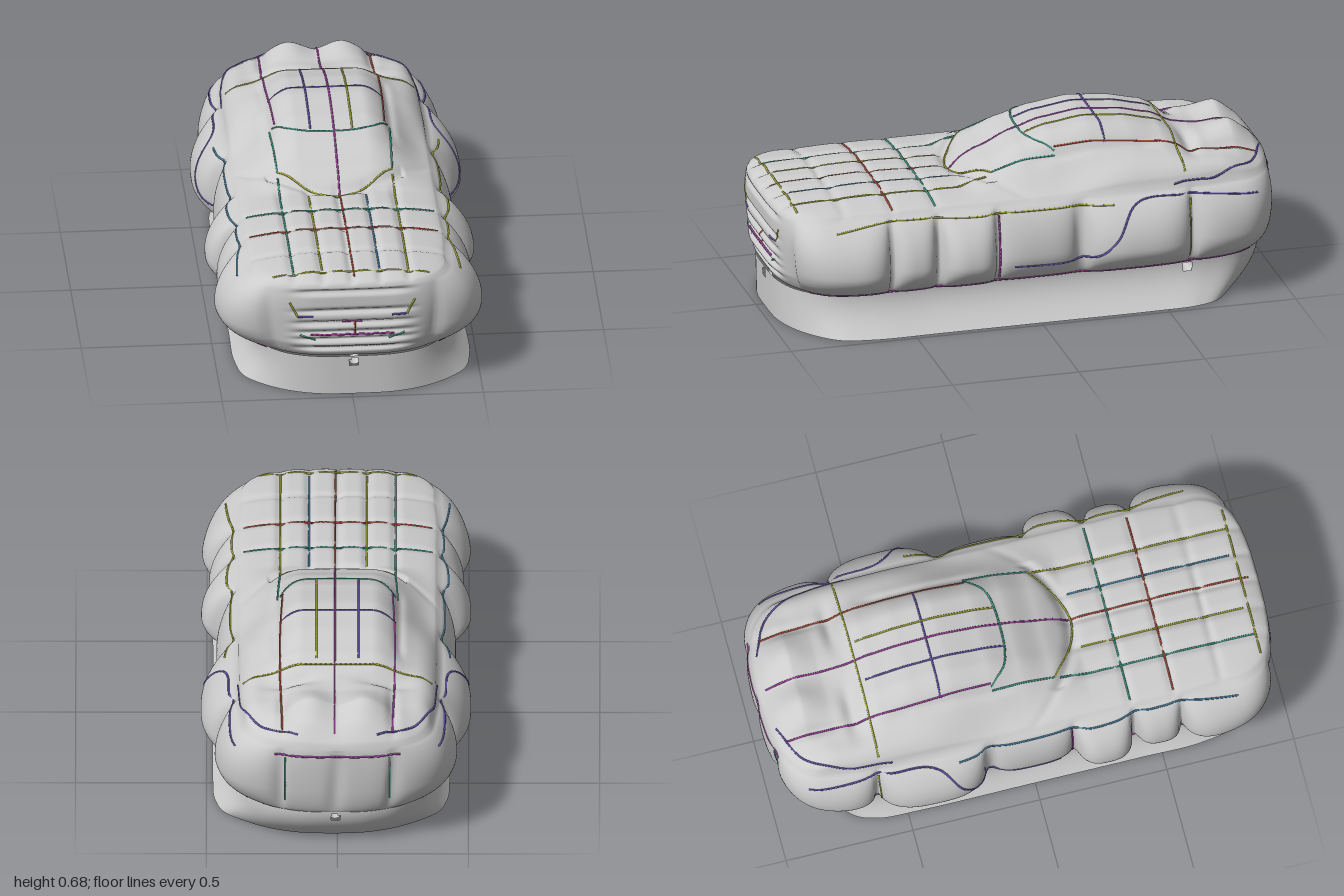
import * as THREE from 'three';

const N = 420;
const clamp = THREE.MathUtils.clamp;
const smooth = (x, a, b) => THREE.MathUtils.smoothstep(x, a, b);
const bell = (d, w) => Math.exp(-(d / w) * (d / w));
const grey = () => new THREE.MeshStandardMaterial({ color: 0xcccccc, side: THREE.DoubleSide });

// interpolate a list of [key, value] pairs with rising keys
function table(list, k) {
  if (k <= list[0][0]) return list[0][1];
  for (let i = 1; i < list.length; i++) {
    const [a, va] = list[i - 1], [b, vb] = list[i];
    if (k <= b) return va + (vb - va) * smooth(k, a, b) * 0.4 + (vb - va) * 0.6 * (k - a) / (b - a);
  }
  return list[list.length - 1][1];
}

// plan outline at the waist, evenly spaced, running front -> +x -> back -> -x
const half = [[0, 0.955], [0.16, 0.945], [0.27, 0.9], [0.35, 0.81], [0.383, 0.66], [0.385, 0.4], [0.385, 0], [0.385, -0.45],
  [0.375, -0.68], [0.335, -0.82], [0.25, -0.905], [0.14, -0.945], [0, -0.955]];
const loop = [...half, ...half.slice(1, -1).reverse().map(([x, z]) => [-x, z])];
const outline = new THREE.CatmullRomCurve3(loop.map(([x, z]) => new THREE.Vector3(x, 0, z)), true, 'centripetal')
  .getSpacedPoints(N).slice(0, N);
const normals = outline.map((p, i) => {
  const t = outline[(i + 1) % N].clone().sub(outline[(i + N - 1) % N]).normalize();
  return new THREE.Vector3(-t.z, 0, t.x);
});

// inflated side panels: rear z, front z, swell
const panels = [[0.585, 0.89, 0.105], [0.405, 0.575, 0.07], [0.165, 0.385, 0.1], [-0.15, 0.15, 0.042],
  [-0.605, -0.19, 0.1], [-0.92, -0.62, 0.065]];
const grille = [0.2, 0.24, 0.27, 0.31, 0.36, 0.44];

// point on the side wall: outline index, t from waist (0) to shoulder (1)
function sidePoint(i, t) {
  const p = outline[i], n = normals[i], y = 0.16 + 0.3 * t;
  const v = t < 0.37 ? 1 - t / 0.37 : (t - 0.37) / 0.63;
  const rise = Math.pow(1 - v * v, 0.72);
  let swell = 0.03;
  for (const [a, b, h] of panels) {
    const u = Math.abs((2 * p.z - a - b) / (b - a));
    if (u < 1) swell += h * Math.pow(1 - u * u * u, 0.55);
  }
  const side = n.x * n.x, end = 1 - side, full = Math.min(1, t * 5);
  // the corners square up towards the shoulder
  let d = swell * rise * Math.abs(n.x) + (p.z > 0 ? 0.15 : 0.1) * side * end * smooth(t, 0, 0.9);
  if (p.z > 0) {
    // nose with grille grooves
    d += end * 0.034 * Math.sqrt(full);
    const mid = 1 - smooth(Math.abs(p.x), 0.14, 0.25);
    for (const g of grille) d -= end * mid * 0.018 * bell(y - g, 0.009);
  } else {
    // tail with two upright swellings and a recessed panel
    d += end * (0.03 * Math.sqrt(t) + 0.012 * rise * (1 - bell(p.x, 0.03)));
    d -= end * 0.018 * bell(Math.abs(p.x) - 0.2, 0.015) * rise;
  }
  return new THREE.Vector3(p.x + n.x * d + 0.01 * (1 - t), y, p.z + n.z * d);
}

// height of hood, cabin and tail along the centre line
const roof = [[-0.98, 0.5], [-0.92, 0.53], [-0.84, 0.565], [-0.74, 0.565], [-0.64, 0.585], [-0.55, 0.63], [-0.42, 0.66],
  [-0.27, 0.673], [-0.12, 0.653], [0, 0.617], [0.12, 0.563], [0.25, 0.503], [0.6, 0.512], [0.9, 0.503], [0.98, 0.49]];
const seamX = [0, 0.11, 0.22], seamZ = [0.39, 0.56, 0.75];
function topHeight(x, z) {
  const ax = Math.abs(x), deck = 0.49;
  const cabin = 1 - smooth(ax, 0.13, 0.38);
  let h = deck + (table(roof, z) - deck) * cabin;
  // hood pillows
  const hood = smooth(z, 0.17, 0.28);
  for (const s of seamX) h -= hood * 0.012 * bell(ax - s, 0.016);
  for (const s of seamZ) h -= hood * 0.008 * bell(z - s, 0.015);
  // windscreen base, pillars and side windows
  h -= 0.02 * bell(z - 0.24 + 1.6 * ax * ax, 0.025) * (ax < 0.26 ? 1 : 0.3);
  const win = smooth(z, -0.55, -0.45) * (1 - smooth(z, -0.12, 0));
  h -= 0.015 * win * bell(ax - 0.235, 0.018);
  // haunches, rear window ledge and the twin tail cushions
  h += 0.055 * bell(ax - 0.35, 0.08) * smooth(z, -0.92, -0.75) * (1 - smooth(z, -0.4, -0.1));
  h -= 0.03 * bell(z + 0.66, 0.03) * bell(ax - 0.17, 0.09);
  h += 0.04 * bell(ax - 0.1, 0.075) * bell(z + 0.85, 0.1);
  h -= 0.02 * bell(ax - 0.21, 0.02) * bell(z + 0.82, 0.12);
  return h;
}

// rings of points joined into a shell; skip(p) leaves an opening
function shell(name, rings, skip = () => false) {
  const pos = [], index = [];
  rings.forEach(r => r.forEach(p => pos.push(p.x, p.y, p.z)));
  for (let r = 0; r < rings.length - 1; r++) for (let i = 0; i < N; i++) {
    const j = (i + 1) % N, a = r * N + i, b = r * N + j;
    if (skip(rings[r][i].clone().add(rings[r + 1][j]).multiplyScalar(0.5))) continue;
    index.push(a, b, b + N, a, b + N, a + N);
  }
  const g = new THREE.BufferGeometry();
  g.setAttribute('position', new THREE.Float32BufferAttribute(pos, 3));
  g.setIndex(index);
  g.computeVertexNormals();
  const m = new THREE.Mesh(g, grey());
  m.name = name;
  return m;
}

function makeBody() {
  const rings = [];
  for (let k = 0; k <= 50; k++) rings.push(outline.map((_, i) => sidePoint(i, Math.pow(k / 50, 1.2))));
  const rim = rings[50];
  for (let k = 1; k <= 55; k++) {
    const s = Math.pow(1 - k / 55, 1.25), edge = Math.sqrt(1 - Math.pow(s, 8));
    rings.push(rim.map(p => {
      const x = p.x * s, z = p.z * (0.75 + 0.25 * s);
      return new THREE.Vector3(x, 0.46 + (topHeight(x, z) - 0.46) * edge, z);
    }));
  }
  return shell('body', rings);
}

// flared open skirt, tucked in below the tail
function makeSkirt() {
  const rings = [];
  for (let k = 0; k <= 20; k++) {
    const y = 0.16 * k / 20, f = 1 - k / 20;
    rings.push(outline.map((p, i) => {
      const n = normals[i], d = (0.068 * Math.pow(f, 1.4) - 0.012 * Math.sin(Math.PI * f)) * n.x * n.x;
      const tuck = p.z < 0 ? 0.1 * f * f * smooth(-p.z, 0.4, 0.95) : 0.015 * smooth(p.z, 0.5, 0.95);
      return new THREE.Vector3(p.x + n.x * d + 0.01 + 0.014 * f, y, p.z + tuck);
    }));
  }
  return shell('skirt', rings, p => Math.hypot(p.y - 0.135, Math.abs(p.x) > 0.3 ? p.z + 0.6 : p.x - 0.01) < 0.019);
}

// hollow tube, flared where it meets the skirt
function makeTube(name, length, radius) {
  const pts = [[1.5, -1], [1.3, -0.97], [1, -0.9], [1, 0.9], [1.3, 0.97], [1.5, 1]]
    .map(([r, y]) => new THREE.Vector2(r * radius, y * length / 2));
  const m = new THREE.Mesh(new THREE.LatheGeometry(pts, 18), grey());
  m.name = name;
  return m;
}

export function createModel() {
  const car = new THREE.Group();
  car.name = 'car';
  const body = makeBody();
  const longTube = makeTube('lengthwiseTube', 1.87, 0.015), crossTube = makeTube('crossTube', 0.745, 0.02);
  longTube.rotation.x = Math.PI / 2;
  longTube.position.set(0.01, 0.135, 0.01);
  crossTube.rotation.z = Math.PI / 2;
  crossTube.position.set(0.01, 0.135, -0.6);
  car.add(body, makeSkirt(), longTube, crossTube);

  // guide lines laid on the body: 'top' takes [x, z], 'right' and 'left' [z, y], 'front' and 'back' [x, y]
  const ray = new THREE.Raycaster();
  const casts = {
    top: (a, b) => [[a, 2, b], [0, -1, 0]], right: (a, b) => [[2, b, a], [-1, 0, 0]], left: (a, b) => [[-2, b, a], [1, 0, 0]],
    front: (a, b) => [[a, b, 2], [0, 0, -1]], back: (a, b) => [[a, b, -2], [0, 0, 1]],
  };
  function line(name, color, view, pts) {
    const path = new THREE.CatmullRomCurve3(pts.map(([a, b]) => new THREE.Vector3(a, b, 0)), false, 'centripetal');
    const n = clamp(Math.ceil(path.getLength() / 0.04), 3, 50), out = [];
    for (const p of path.getSpacedPoints(n)) {
      const [o, d] = casts[view](p.x, p.y);
      ray.set(new THREE.Vector3(...o), new THREE.Vector3(...d));
      const hit = ray.intersectObject(body)[0];
      if (hit) out.push(hit.point);
    }
    if (out.length < 2) return;
    const g = new THREE.TubeGeometry(new THREE.CatmullRomCurve3(out), out.length * 2, 0.004, 5);
    const m = new THREE.Mesh(g, new THREE.MeshStandardMaterial({ color }));
    m.name = name;
    car.add(m);
  }
  const olive = 0xa9ad3c, teal = 0x45a08c, magenta = 0xa848a8, purple = 0x6a58b0, red = 0xb0503c, blue = 0x4a86a8;
  line('hoodCentreLine', red, 'top', [[0.01, 0.25], [0.01, 0.95]]);
  line('roofCentreLine', magenta, 'top', [[0.01, 0.24], [0.01, -0.95]]);
  line('hoodCrossLine', teal, 'top', [[-0.36, 0.39], [0.36, 0.39]]);
  line('hoodCrossLine', red, 'top', [[-0.36, 0.56], [0.36, 0.56]]);
  line('hoodFrontLine', olive, 'top', [[-0.3, 0.92], [0.3, 0.92]]);
  line('screenBaseLine', olive, 'top', [[-0.22, 0.13], [-0.1, 0.22], [0, 0.25], [0.1, 0.22], [0.22, 0.13]]);
  line('screenTopLine', teal, 'top', [[-0.22, -0.12], [-0.15, -0.05], [0, -0.03], [0.15, -0.05], [0.22, -0.12]]);
  line('roofCrossLine', purple, 'top', [[-0.22, -0.32], [0.22, -0.32]]);
  line('rearScreenLine', olive, 'top', [[-0.36, -0.6], [0.36, -0.6]]);
  line('grilleLine', magenta, 'front', [[-0.16, 0.26], [0.16, 0.26]]);
  line('grilleLine', magenta, 'front', [[-0.04, 0.31], [0.04, 0.31]]);
  line('grilleCentreLine', red, 'front', [[0.01, 0.255], [0.01, 0.31]]);
  line('tailLine', magenta, 'back', [[-0.24, 0.43], [0.24, 0.43]]);
  for (const s of [-1, 1]) {
    const view = s > 0 ? 'right' : 'left';
    line('hoodLine', s > 0 ? blue : olive, 'top', [[0.11 * s, 0.26], [0.11 * s, 0.9]]);
    line('hoodEdgeLine', s > 0 ? olive : teal, 'top', [[0.22 * s, 0.15], [0.22 * s, 0.92]]);
    line('pillarLine', teal, 'top', [[0.22 * s, 0.13], [0.23 * s, -0.12]]);
    line('roofLine', s > 0 ? olive : purple, 'top', [[0.08 * s, -0.04], [0.08 * s, -0.58]]);
    line('roofEdgeLine', s > 0 ? red : magenta, 'top', [[0.21 * s, -0.12], [0.22 * s, -0.5], [0.21 * s, -0.92]]);
    line('shoulderLine', s > 0 ? olive : blue, view, [[0.8, 0.43], [0.6, 0.45], [0.2, 0.44], [-0.3, 0.435]]);
    line('rearShoulderLine', purple, 'top', [[0.38 * s, -0.55], [0.36 * s, -0.75], [0.29 * s, -0.88], [0.15 * s, -0.95]]);
    line('waistLine', magenta, view, [[0.88, 0.168], [0, 0.168], [-0.86, 0.168]]);
    line('doorLine', magenta, view, [[0.15, 0.18], [0.15, 0.43]]);
    line('haunchLine', purple, view, [[0.1, 0.23], [-0.2, 0.24], [-0.29, 0.31], [-0.38, 0.43], [-0.6, 0.44], [-0.88, 0.41]]);
    line('rearPanelLine', olive, view, [[-0.6, 0.2], [-0.61, 0.42]]);
    line('headlightLine', olive, 'front', [[0.24 * s, 0.4], [0.21 * s, 0.34]]);
    line('headlightBaseLine', purple, 'front', [[0.21 * s, 0.34], [0.15 * s, 0.34]]);
    line('bumperLine', teal, 'front', [[0.2 * s, 0.26], [0.14 * s, 0.235]]);
    line('tailPanelLine', teal, 'back', [[0.2 * s, 0.22], [0.2 * s, 0.42]]);
  }
  return car;
}
